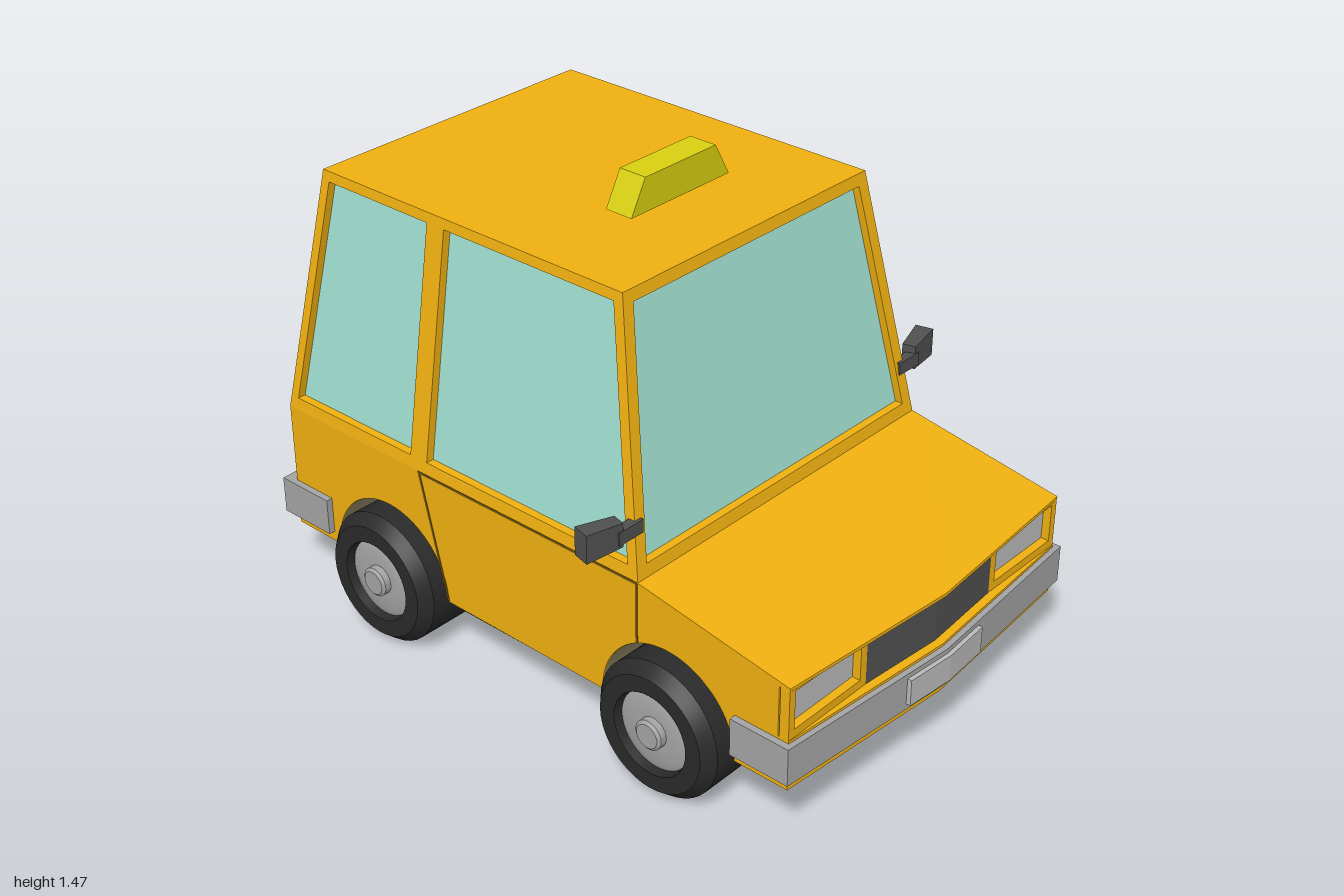
import * as THREE from 'three';
import { toCreasedNormals } from 'three/addons/utils/BufferGeometryUtils.js';

const mat = (color) => new THREE.MeshStandardMaterial({ color, flatShading: true });
const PAINT = mat(0xf0b010), GLASS = mat(0xa0dfd0), CHROME = mat(0xa4a4a4), LAMP = mat(0xbababa);
const DARK = mat(0x505050), RED = mat(0x8c0808), SIGN = mat(0xd8d010), SEAM = mat(0x7a5a0a), FLOOR = mat(0x6a6048);
const RUBBER = new THREE.MeshStandardMaterial({ color: 0x2a2a2a });
const HUB = new THREE.MeshStandardMaterial({ color: 0xa4a4a4 });
const LINER = new THREE.MeshStandardMaterial({ color: 0x948a68, side: THREE.DoubleSide });

const W = 0.59;                       // half width of the body
const SILL = 0.6, ROOF = 1.35;        // heights of the cabin's foot and top
const AXLES = [0.52, -0.535];

export function createModel() {
  const car = new THREE.Group();
  car.name = 'cab';

  const add = (name, geometry, material, parent = car) => {
    const mesh = new THREE.Mesh(geometry, material);
    mesh.name = name;
    parent.add(mesh);
    return mesh;
  };
  const poly = (pts) => new THREE.Shape(pts.map(([x, y]) => new THREE.Vector2(x, y)));
  const box = (name, material, x0, x1, y0, y1, z0, z1, segments = 1) => {
    const g = new THREE.BoxGeometry(x1 - x0, y1 - y0, z1 - z0, 1, 1, segments);
    g.translate((x0 + x1) / 2, (y0 + y1) / 2, (z0 + z1) / 2);
    return add(name, g, material);
  };
  // Sweeps the nose back towards its corners
  const bow = (g, minX) => {
    const p = g.attributes.position;
    for (let i = 0; i < p.count; i++) {
      if (p.getX(i) > minX) p.setX(i, p.getX(i) - 0.045 * Math.abs(p.getZ(i)) / W);
    }
    return g;
  };

  // Lower body: side profile with wheel arches cut right through
  const side = new THREE.Shape();
  side.moveTo(-0.945, 0.2);
  side.lineTo(-0.765, 0.2);
  side.absarc(AXLES[1], 0.205, 0.23, Math.PI, 0, true);
  side.lineTo(0.29, 0.2);
  side.absarc(AXLES[0], 0.205, 0.23, Math.PI, 0, true);
  [[0.75, 0.2], [0.97, 0.2], [0.97, 0.355], [0.89, 0.355], [0.89, 0.507], [0.97, 0.507],
    [0.97, 0.517], [0.42, SILL], [-0.945, SILL]].forEach(([x, y]) => side.lineTo(x, y));
  const bodyGeo = new THREE.ExtrudeGeometry(side, { depth: 2 * W, steps: 2, bevelEnabled: false, curveSegments: 24 });
  bodyGeo.translate(0, 0, -W);
  add('lowerBody', bow(bodyGeo, 0.95), PAINT);
  box('floor', FLOOR, -0.3, 0.285, 0.197, 0.21, -W + 0.005, W - 0.005);
  for (const x of AXLES) {
    const g = new THREE.CylinderGeometry(0.229, 0.229, 2 * W - 0.004, 24, 1, true, Math.PI / 2, Math.PI);
    g.rotateX(Math.PI / 2).translate(x, 0.205, 0);
    add('wheelArchLiner', g, LINER);
  }

  // A wall leaning inward with height, with recessed panes set in its openings
  const wall = (name, outline, openings, paneName, paneMaterial, base, slope, turn, mirror = 1) => {
    const group = new THREE.Group();
    group.name = name;
    const place = (g, offset) => {
      const p = g.attributes.position;
      for (let i = 0; i < p.count; i++) {
        p.setZ(i, p.getZ(i) + offset + base - slope * (p.getY(i) - SILL));
      }
      return g.rotateY(turn);
    };
    const shape = poly(outline);
    shape.holes = openings.map(poly);
    add(name + 'Frame', place(new THREE.ExtrudeGeometry(shape, { depth: 0.03, bevelEnabled: false }), -0.03), PAINT, group);
    for (const o of openings) add(paneName, place(new THREE.ShapeGeometry(poly(o)), -0.025), paneMaterial, group);
    group.scale.z = mirror;
    car.add(group);
  };
  const trapezoid = (a, b, y0, y1) => [[-a, y0], [a, y0], [b, y1], [-b, y1]];

  // Cabin
  const sideOutline = [[-0.945, SILL], [0.42, SILL], [0.285, ROOF], [-0.83, ROOF]];
  const sideWindows = [
    [[-0.91, 0.637], [-0.435, 0.637], [-0.415, 1.32], [-0.805, 1.32]],
    [[-0.37, 0.637], [0.38, 0.637], [0.258, 1.32], [-0.35, 1.32]],
  ];
  for (const m of [1, -1]) wall('cabinSide', sideOutline, sideWindows, 'sideWindow', GLASS, W, 0.1 / 0.75, 0, m);
  const endOutline = trapezoid(W, 0.49, SILL, ROOF), endWindow = [trapezoid(0.548, 0.457, 0.637, 1.315)];
  wall('cabinFront', endOutline, endWindow, 'windscreen', GLASS, 0.42, 0.135 / 0.75, Math.PI / 2);
  wall('cabinBack', endOutline, endWindow, 'rearWindow', GLASS, 0.945, 0.115 / 0.75, -Math.PI / 2);
  box('roof', PAINT, -0.83, 0.285, 1.32, ROOF, -0.49, 0.49);

  // Roof sign
  const sign = new THREE.ExtrudeGeometry(poly(trapezoid(0.195, 0.14, 1.37, 1.47)), { depth: 0.09, bevelEnabled: false });
  add('roofSign', sign.translate(0, 0, -0.045).rotateY(Math.PI / 2), SIGN);

  // Nose: grille and headlights
  bow(box('grille', DARK, 0.885, 0.945, 0.355, 0.507, -0.275, 0.275, 2).geometry, 0.9);
  const rect = (x0, x1, y0, y1) => [[x0, y0], [x1, y0], [x1, y1], [x0, y1]];
  for (const m of [1, -1]) {
    wall('headlight', rect(0.275, W, 0.355, 0.507), [rect(0.3, 0.567, 0.38, 0.497)], 'headlightLens', LAMP, 0.924, 0, Math.PI / 2, m);
  }

  // Bumpers wrapped round the corners, drawn from above
  const bumper = (name, pts) => {
    const outline = poly([...pts.map(([x, z]) => [x, z]), ...pts.slice().reverse().map(([x, z]) => [x, -z])]);
    const g = new THREE.ExtrudeGeometry(outline, { depth: 0.115, bevelEnabled: false });
    add(name, g.rotateX(-Math.PI / 2).translate(0, 0.232, 0), CHROME);
  };
  bumper('frontBumper', [[0.915, 0.57], [0.75, 0.57], [0.75, 0.61], [0.94, 0.61], [0.987, 0.001]].map(([x, z]) => [x, z]));
  bumper('rearBumper', [[-0.93, 0.57], [-0.79, 0.57], [-0.79, 0.61], [-0.985, 0.61]]);
  bow(box('frontPlate', LAMP, 0.97, 1, 0.25, 0.332, -0.16, 0.16, 2).geometry, 0.9);
  box('rearPlate', LAMP, -1, -0.98, 0.25, 0.332, -0.155, 0.155);

  // Wheel profiles, turned so the outer face looks along +z
  const turned = (pts, n) => toCreasedNormals(
    new THREE.LatheGeometry(pts.map(([r, y]) => new THREE.Vector2(r, y)), n).rotateX(Math.PI / 2), 0.5);
  const tyreGeo = turned([[0, -0.135], [0.17, -0.135], [0.205, -0.1], [0.205, 0.1], [0.175, 0.135], [0.125, 0.135], [0.118, 0.1]], 40);
  const hubGeo = turned([[0.122, 0.108], [0.1, 0.118], [0.045, 0.118], [0.045, 0.138], [0.036, 0.145], [0, 0.145]], 40);

  for (const s of [1, -1]) {
    for (const x of AXLES) {
      const wheel = new THREE.Group();
      wheel.name = 'wheel';
      add('tyre', tyreGeo, RUBBER, wheel);
      add('hub', hubGeo, HUB, wheel);
      wheel.position.set(x, 0.205, s * 0.525);
      if (s < 0) wheel.rotation.y = Math.PI;
      car.add(wheel);
    }

    // Tail lights
    box('tailLight', RED, -0.948, -0.93, 0.44, 0.545, s > 0 ? 0.31 : -0.565, s > 0 ? 0.565 : -0.31);

    // Door mirrors: an arm and a housing that tapers towards the arm
    const mirror = new THREE.Group();
    mirror.name = 'doorMirror';
    const arm = add('mirrorArm', new THREE.BoxGeometry(0.03, 0.04, 0.09), DARK, mirror);
    arm.position.set(0.385, 0.745, 0.59);
    const housingGeo = new THREE.BoxGeometry(0.055, 0.085, 0.115);
    const p = housingGeo.attributes.position;
    for (let i = 0; i < p.count; i++) {
      if (p.getZ(i) < 0) p.setXYZ(i, p.getX(i) * 0.75, p.getY(i) * 0.85, p.getZ(i));
    }
    const housing = add('mirrorHousing', housingGeo, DARK, mirror);
    housing.position.set(0.365, 0.752, 0.67);
    housing.rotation.y = -0.24;
    mirror.scale.z = s;
    car.add(mirror);

    // Door seams
    const seams = [[-0.4, 0.6, -0.305, 0.21], [-0.4, 0.597, 0.415, 0.597], [0.415, 0.597, 0.415, 0.412]];
    for (const [x0, y0, x1, y1] of seams) {
      const g = new THREE.BoxGeometry(Math.hypot(x1 - x0, y1 - y0), 0.007, 0.004);
      g.rotateZ(Math.atan2(y1 - y0, x1 - x0)).translate((x0 + x1) / 2, (y0 + y1) / 2, s * W);
      add('doorSeam', g, SEAM);
    }
  }
  return car;
}
